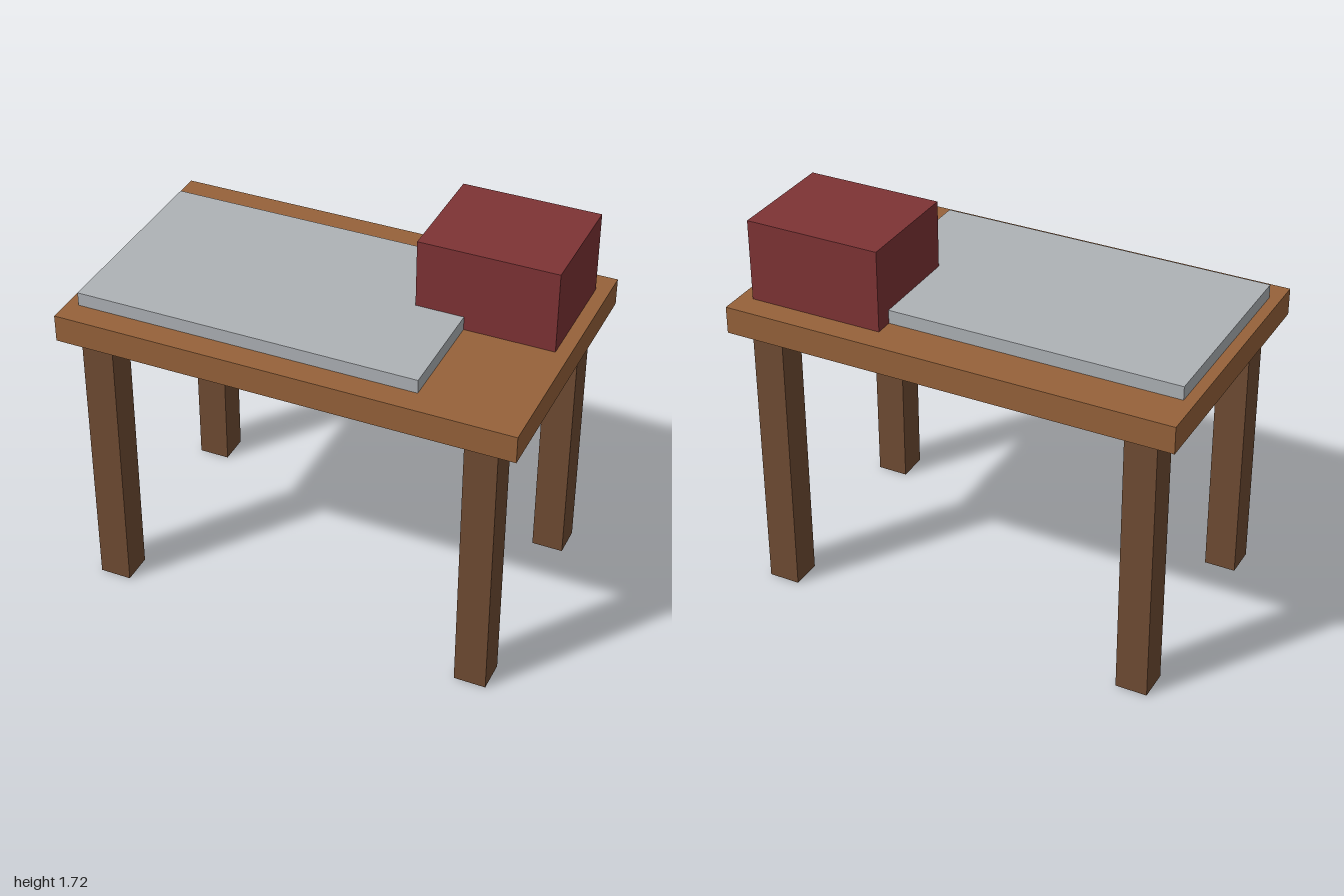
import * as THREE from 'three';

export function createModel() {
  const group = new THREE.Group();
  const material = (name, color, side = THREE.FrontSide) => {
    const m = new THREE.MeshStandardMaterial({ color, side });
    m.name = name;
    return m;
  };
  const topWood = material('top wood', 0x96623a);
  const legWood = material('leg wood', 0x704c33, THREE.DoubleSide);
  const grey = material('slab grey', 0xaeb2b6);
  const red = material('box red', 0x7e3335);

  const add = (name, geometry, mat, x, y, z) => {
    const mesh = new THREE.Mesh(geometry, mat);
    mesh.name = name;
    mesh.position.set(x, y, z);
    group.add(mesh);
  };

  // Table top and the things lying on it
  add('tableTop', new THREE.BoxGeometry(2, 0.12, 1.2), topWood, 0, 1.3, 0);
  add('slab', new THREE.BoxGeometry(1.5, 0.06, 0.9), grey, -0.2, 1.39, 0.04);
  add('box', new THREE.BoxGeometry(0.6, 0.36, 0.5), red, 0.64, 1.54, -0.24);

  // Hollow square legs, open at the foot
  const legGeometry = new THREE.CylinderGeometry(0.07 * Math.SQRT2, 0.07 * Math.SQRT2, 1.24, 4, 1, true)
    .rotateY(Math.PI / 4).toNonIndexed();
  legGeometry.computeVertexNormals();
  for (const [sideName, x] of [['Left', 0.84], ['Right', -0.84]]) {
    for (const [endName, z] of [['front', 0.48], ['back', -0.48]]) {
      add(`${endName}${sideName}Leg`, legGeometry, legWood, x, 0.62, z);
    }
  }
  return group;
}
